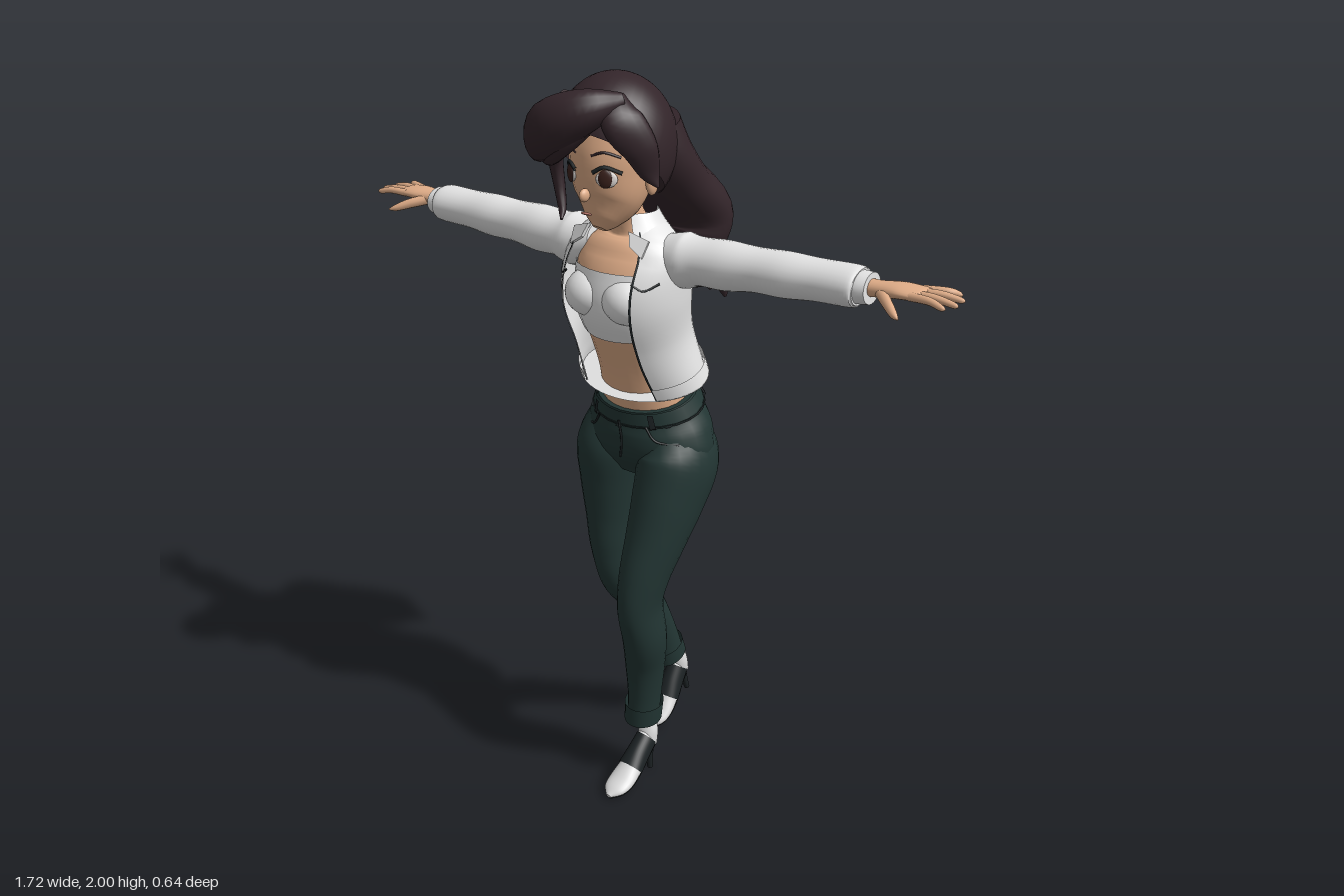
import * as THREE from 'three';

const mat = (name, color, side = THREE.DoubleSide) => {
  const m = new THREE.MeshStandardMaterial({ color, side });
  m.name = name;
  return m;
};

// Sweeps an ellipse through sections [x, y, z, a, b]; a lies along axis u, b across it.
// arc (degrees) makes an open shell; grow enlarges every section.
function sweep(secs, { u = [1, 0, 0], seg = 24, arc = null, open = false, grow = 0, steps = 6 } = {}) {
  const path = new THREE.CatmullRomCurve3(secs.map(s => new THREE.Vector3(s[0], s[1], s[2])), false, 'catmullrom', 0.5);
  const size = new THREE.CatmullRomCurve3(secs.map(s => new THREE.Vector3(s[3], s[4], 0)), false, 'catmullrom', 0.5);
  const rows = (secs.length - 1) * steps, cols = arc ? seg + 1 : seg;
  const [from, to] = (arc || [0, 360]).map(THREE.MathUtils.degToRad);
  const pos = [], idx = [], ref = new THREE.Vector3(...u);
  for (let i = 0; i <= rows; i++) {
    const t = i / rows, c = path.getPoint(t), r = size.getPoint(t), T = path.getTangent(t);
    const V = T.clone().cross(ref).normalize(), U = V.clone().cross(T);
    for (let j = 0; j < cols; j++) {
      const k = from + (to - from) * j / seg;
      const p = c.clone().addScaledVector(U, (r.x + grow) * Math.cos(k)).addScaledVector(V, (r.y + grow) * Math.sin(k));
      pos.push(p.x, p.y, p.z);
    }
  }
  for (let i = 0; i < rows; i++) for (let j = 0; j < seg; j++) {
    const a = i * cols + j, b = i * cols + (j + 1) % cols;
    idx.push(a, b, a + cols, b, b + cols, a + cols);
  }
  if (!arc && !open) for (const [row, s] of [[0, secs[0]], [rows, secs[secs.length - 1]]]) {
    const base = pos.length / 3;
    for (let j = 0; j < cols; j++) pos.push(...pos.slice((row * cols + j) * 3, (row * cols + j) * 3 + 3));
    pos.push(s[0], s[1], s[2]);
    for (let j = 0; j < cols; j++) {
      const a = base + j, b = base + (j + 1) % cols;
      row ? idx.push(a, b, base + cols) : idx.push(b, a, base + cols);
    }
  }
  const g = new THREE.BufferGeometry();
  g.setAttribute('position', new THREE.Float32BufferAttribute(pos, 3));
  g.setIndex(idx);
  g.computeVertexNormals();
  return g;
}

export function createModel() {
  const root = new THREE.Group();
  const skin = mat('skin', 0xe0ad88), hair = mat('hair', 0x33252a), denim = mat('denim', 0x233634),
    white = mat('jacket white', 0xe4e4e4), shirt = mat('shirt white', 0xf0f0f0), leather = mat('shoe white', 0xdcdcdc),
    dark = mat('dark trim', 0x1c2224), eyeWhite = mat('eye white', 0xf2ece8), iris = mat('iris', 0x3a211c), lip = mat('lips', 0xb9776a);
  const add = (name, geo, m, parent = root) => {
    const mesh = new THREE.Mesh(geo, m);
    mesh.name = name;
    parent.add(mesh);
    return mesh;
  };
  const blob = (name, p, s, m, rotY = 0, rotZ = 0) => {
    const b = add(name, new THREE.SphereGeometry(1, 20, 14), m);
    b.position.set(...p);
    b.scale.set(...s);
    b.rotation.set(0, rotY, rotZ);
    return b;
  };
  const line = (name, pts, r = 0.003, m = dark) => add(name, new THREE.TubeGeometry(
    new THREE.CatmullRomCurve3(pts.map(p => new THREE.Vector3(...p))), 16, r, 6), m);

  // Body
  add('torso', sweep([[0, 1.15, -.015, .125, .095], [0, 1.27, .015, .115, .093], [0, 1.39, .05, .125, .1], [0, 1.48, .065, .135, .11],
    [0, 1.56, .055, .135, .085], [0, 1.61, .05, .085, .06], [0, 1.645, .06, .046, .044], [0, 1.72, .09, .04, .04]]), skin);
  add('cropTop', sweep([[0, 1.375, .048, .13, .107], [0, 1.45, .062, .142, .122], [0, 1.535, .062, .14, .107]], { open: true }), shirt);
  for (const s of [-1, 1]) blob('bust', [s * .058, 1.465, .128], [.07, .062, .07], shirt);

  // Jacket shell, open at the front
  const shell = [[0, 1.235, 0, .182, .12], [0, 1.27, .012, .173, .125], [0, 1.36, .042, .158, .138], [0, 1.47, .068, .168, .152],
    [0, 1.56, .06, .166, .118], [0, 1.61, .05, .135, .088], [0, 1.645, .045, .09, .066]];
  add('jacket', sweep(shell, { arc: [-52, 232], seg: 40 }), white);
  add('jacketHem', sweep(shell.slice(0, 2), { arc: [-52, 232], seg: 40, grow: .007 }), white);
  for (const a of [-53, 231]) add('zipper', sweep(shell, { arc: [a, a + 2], seg: 2, grow: .003 }), dark);
  add('collar', sweep([[0, 1.61, .055, .12, .09], [0, 1.64, .055, .09, .075], [0, 1.672, .055, .068, .06]], { arc: [-52, 232], grow: .006 }), white);
  for (const s of [-1, 1]) {
    const flap = new THREE.Shape([[0, 0], [.055, -.01], [.05, -.055], [.012, -.035]].map(p => new THREE.Vector2(p[0] * s, p[1])));
    const c = add('collarFlap', new THREE.ExtrudeGeometry(flap, { depth: .008, bevelEnabled: false }), white);
    c.position.set(s * .06, 1.635, .13);
    c.rotation.set(-.5, s * .3, 0);
    line('pocketSeam', [[s * .1, 1.525, .178], [s * .125, 1.51, .163], [s * .15, 1.525, .13]]);
  }

  // Arms and hands
  for (const s of [-1, 1]) {
    const z = s > 0 ? x => .055 - .06 * x : () => .06;
    const sec = (x, y, a, b) => [s * x, y, z(x), a, b];
    const up = { u: [0, 0, 1] };
    add('sleeve', sweep([sec(.09, 1.575, .05, .045), sec(.16, 1.566, .066, .068), sec(.21, 1.57, .062, .058), sec(.28, 1.572, .061, .06),
      sec(.36, 1.576, .056, .053), sec(.44, 1.578, .059, .054), sec(.52, 1.581, .056, .049), sec(.61, 1.583, .059, .048), sec(.625, 1.583, .05, .042)], up), white);
    add('sleeveCuff', sweep([sec(.61, 1.583, .045, .038), sec(.63, 1.584, .046, .038), sec(.652, 1.585, .044, .036)], up), white);
    const hz = z(.66), hp = (x, y, dz, a, b) => [s * x, y, hz + dz, a, b];
    add('palm', sweep([hp(.63, 1.586, 0, .026, .022), hp(.67, 1.588, 0, .026, .019), hp(.72, 1.592, -.008, .04, .017),
      hp(.765, 1.592, -.012, .041, .013), hp(.778, 1.592, -.012, .036, .008)], up), skin);
    [[-.044, -.072, .835], [-.022, -.036, .858], [.0, .004, .862], [.02, .036, .848]].forEach(([a, b, x]) =>
      add('finger', sweep([hp(.755, 1.592, a, .01, .01), hp(.805, 1.594, (a + b) / 2, .0095, .009),
        hp(x - .01, 1.588, b, .007, .007), hp(x, 1.586, b, .002, .002)], { ...up, seg: 10 }), skin));
    add('thumb', sweep([hp(.68, 1.585, .012, .014, .014), hp(.715, 1.575, .045, .013, .012), hp(.745, 1.563, .07, .009, .009),
      hp(.762, 1.558, .082, .002, .002)], { u: [0, 1, 0], seg: 10 }), skin);
  }

  // Trousers
  const hips = [[0, .955, -.02, .11, .075], [0, 1.02, -.025, .185, .12], [0, 1.09, -.028, .18, .128], [0, 1.145, -.02, .152, .118], [0, 1.18, -.01, .137, .108]];
  add('hips', sweep(hips), denim);
  add('waistband', sweep(hips.slice(3), { grow: .006, open: true }), denim);
  add('waistSeam', sweep([[0, 1.142, -.021, .161, .126], [0, 1.146, -.02, .16, .125]], { open: true, steps: 1 }), dark);
  line('fly', [[0, 1.125, .103], [.008, 1.07, .102], [-.002, 1.02, .095]]);
  for (const s of [-1, 1]) line('frontPocket', [[s * .075, 1.12, .088], [s * .1, 1.085, .08], [s * .15, 1.075, .045]]);
  for (const a of [40, 90, 140, 235, 305]) add('beltLoop', sweep(hips.slice(3), { arc: [a - 3, a + 3], seg: 3, grow: .012 }), dark);
  const legs = {
    leftLeg: [[.085, 1.08, -.03, .08, .1], [.1, 1.0, -.02, .098, .125], [.098, .9, .02, .09, .11], [.09, .8, .062, .077, .09], [.08, .7, .098, .063, .078],
      [.073, .61, .108, .054, .073], [.07, .5, .085, .057, .066], [.053, .4, .06, .053, .06], [.044, .3, .05, .045, .053], [.036, .215, .047, .042, .05]],
    rightLeg: [[-.09, 1.08, -.03, .085, .1], [-.107, 1.0, -.025, .1, .122], [-.11, .9, -.022, .093, .108], [-.107, .8, -.018, .082, .094], [-.1, .7, -.008, .07, .08],
      [-.088, .6, -.018, .058, .07], [-.09, .5, -.09, .057, .06], [-.082, .4, -.145, .052, .055], [-.078, .31, -.19, .045, .05], [-.075, .245, -.215, .042, .048]],
  };
  for (const [name, secs] of Object.entries(legs)) {
    add(name, sweep(secs), denim);
    const [p, q] = secs.slice(-2), at = k => p.map((v, i) => v + (q[i] - v) * k);
    add('turnUp', sweep([at(.45), at(.75), at(1.15)], { grow: .008, open: true }), denim);
    add('ankle', sweep([at(.8), at(1.1)].map(v => [v[0], v[1], v[2], .03, .034])), skin);
  }

  // Heeled shoes
  const shoe = (name, position, tilt) => {
    const g = new THREE.Group();
    g.name = name;
    const last = [[0, .125, 0, .015, .02], [0, .112, .025, .027, .033], [0, .08, .065, .03, .033], [0, .052, .1, .035, .03],
      [0, .031, .14, .039, .023], [0, .02, .175, .032, .015], [0, .012, .2, .008, .006]];
    add('upper', sweep(last), leather, g);
    add('lacing', sweep(last.slice(1, 4), { arc: [-20, 200], grow: .003 }), dark, g);
    add('sole', sweep(last, { arc: [215, 325], grow: .003 }), dark, g);
    add('heelCounter', sweep([[0, .1, .022, .029, .028], [0, .135, .016, .029, .025], [0, .162, .01, .024, .018]], { open: true }), leather, g);
    add('heel', sweep([[0, .1, .016, .022, .02], [0, .06, .012, .012, .012], [0, .001, .008, .008, .008]]), dark, g);
    g.position.set(...position);
    g.rotation.x = tilt;
    root.add(g);
  };
  shoe('leftShoe', [.03, 0, 0], 0);
  shoe('rightShoe', [-.077, .063, -.325], .29);

  // Head and face
  add('head', sweep([[0, 1.642, .168, .016, .02], [0, 1.665, .155, .045, .05], [0, 1.71, .133, .08, .086], [0, 1.77, .118, .096, .107],
    [0, 1.84, .112, .102, .112], [0, 1.92, .108, .085, .09], [0, 1.96, .105, .02, .02]]), skin);
  blob('nose', [0, 1.733, .222], [.01, .016, .017], skin);
  blob('mouth', [0, 1.688, .216], [.016, .003, .006], lip);
  for (const s of [-1, 1]) {
    blob('ear', [s * .1, 1.755, .095], [.012, .032, .02], skin);
    blob('eyeWhite', [s * .053, 1.775, .205], [.026, .02, .006], eyeWhite, s * .5);
    blob('iris', [s * .052, 1.776, .209], [.017, .022, .006], iris, s * .5);
    line('upperLash', [[s * .026, 1.79, .223], [s * .05, 1.803, .212], [s * .08, 1.788, .182]], .005);
    line('eyebrow', [[s * .022, 1.828, .222], [s * .05, 1.837, .212], [s * .08, 1.825, .185]], .003, hair);
  }

  // Hair: skull cap, long wavy mane, swept fringe and loose locks
  const cap = new THREE.SphereGeometry(1, 36, 24, 0, Math.PI * 2, 0, Math.PI * .6).rotateX(-.62).scale(.147, .168, .15);
  add('hairCap', cap.translate(-.005, 1.832, .1), hair);
  const mane = [[0, 1.88, .03, .12, .08], [0, 1.8, .0, .138, .085], [-.005, 1.73, -.055, .15, .085], [-.025, 1.655, -.13, .188, .088], [-.045, 1.575, -.145, .185, .072],
    [-.06, 1.5, -.18, .178, .08], [-.08, 1.44, -.23, .125, .055], [-.09, 1.39, -.265, .04, .02]];
  add('mane', sweep(mane, { seg: 32 }), hair);
  for (let i = 0; i < 5; i++) {
    const x = -.2 + i * .065, d = Math.abs(i - 2) * .025;
    add('maneLock', sweep([[x + .05, 1.72, -.11 + d, .03, .025], [x, 1.65, -.175 + d, .05, .04], [x + .012, 1.57, -.18 + d, .045, .035],
      [x, 1.5, -.23 + d, .045, .038], [x + .02, 1.44, -.27 + d, .03, .025], [x + .035, 1.39, -.275 + d, .004, .004]], { seg: 14 }), hair);
  }
  const locks = [
    ['fringe', [0, 1, 0], [[.075, 1.95, .17, .02, .02], [.02, 1.932, .235, .05, .045], [-.055, 1.895, .262, .062, .05], [-.12, 1.855, .235, .058, .04], [-.165, 1.82, .18, .035, .025], [-.19, 1.8, .15, .003, .003]]],
    ['fringeLock', [0, 1, 0], [[.03, 1.92, .23, .03, .02], [-.04, 1.865, .255, .04, .03], [-.105, 1.82, .225, .032, .022], [-.175, 1.805, .16, .003, .003]]],
    ['leftFringe', [-.6, 0, .8], [[.05, 1.955, .17, .025, .02], [.085, 1.91, .19, .05, .025], [.118, 1.85, .165, .042, .02], [.128, 1.79, .14, .025, .014], [.145, 1.755, .13, .003, .003]]],
    ['rightSideLock', [.7, 0, .7], [[-.1, 1.86, .21, .035, .025], [-.118, 1.79, .185, .03, .018], [-.108, 1.73, .185, .022, .014], [-.088, 1.685, .2, .014, .01], [-.07, 1.665, .225, .003, .003]]],
    ['rightFlick', [0, 1, 0], [[-.1, 1.92, .14, .04, .03], [-.14, 1.88, .14, .035, .025], [-.165, 1.89, .13, .02, .015], [-.185, 1.895, .12, .003, .003]]],
  ];
  for (const [name, u, secs] of locks) add(name, sweep(secs, { u, seg: 16 }), hair);

  return root;
}
